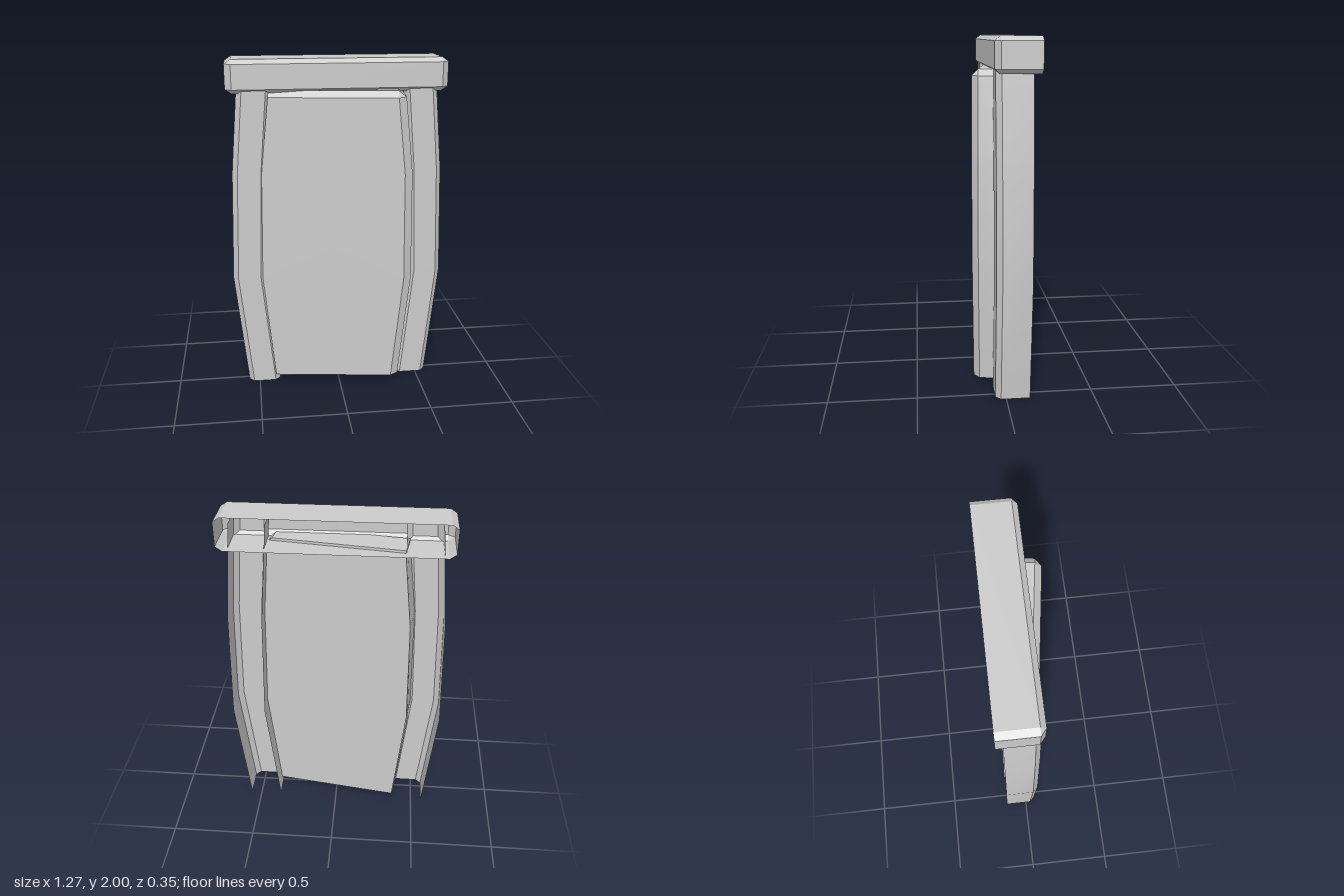
import * as THREE from 'three';
import { toCreasedNormals } from 'three/addons/utils/BufferGeometryUtils.js';

const material = new THREE.MeshStandardMaterial({ color: 0xcccccc, side: THREE.DoubleSide });

// Skins a grid of [x, y, z] rows, skipping collapsed triangles; bevels stay sharp, bows are smooth.
function skin(name, rows, closed) {
  const pos = [];
  const same = (p, q) => Math.hypot(p[0] - q[0], p[1] - q[1], p[2] - q[2]) < 1e-6;
  const tri = (a, b, c) => {
    if (!same(a, b) && !same(b, c) && !same(c, a)) pos.push(...a, ...b, ...c);
  };
  for (let r = 0; r < rows.length - 1; r++) {
    const n = rows[r].length;
    for (let i = 0; i < (closed ? n : n - 1); i++) {
      const j = (i + 1) % n;
      const a = rows[r][i], b = rows[r][j], c = rows[r + 1][j], d = rows[r + 1][i];
      tri(a, b, c);
      tri(a, c, d);
    }
  }
  const geometry = new THREE.BufferGeometry();
  geometry.setAttribute('position', new THREE.Float32BufferAttribute(pos, 3));
  const mesh = new THREE.Mesh(toCreasedNormals(geometry, 0.4), material);
  mesh.name = name;
  return mesh;
}

// Counter-clockwise ring at depth z from right and left outlines, both listed bottom to top.
const ring = (right, left, z) => [...right, ...[...left].reverse()].map(([x, y]) => [x, y, z]);

const mirror = (outline) => outline.map(([x, y]) => [-x, y]);

// A ring shrunk to one point, used as a flat cap.
const cap = (count, y, z) => Array.from({ length: count }, () => [0, y, z]);

// Bevelled beam across the top, hollow and open at the back.
function createLintel() {
  const outer = [[0.6, 1.81], [0.637, 1.835], [0.637, 1.975], [0.6, 2]];
  const front = [[0.6, 1.835], [0.6, 1.835], [0.6, 1.975], [0.6, 1.975]];
  return skin('lintel', [
    ring(outer, mirror(outer), -0.175), ring(outer, mirror(outer), 0.04),
    ring(front, mirror(front), 0.07), cap(8, 1.9, 0.07),
  ], true);
}

// Bowed side post: a bevelled channel, open at the back and both ends.
function createJamb(name, side) {
  const bow = [[0, 0.565], [0.7, 0.637], [1.35, 0.617], [1.81, 0.578], [1.95, 0.566]];
  const rows = bow.map(([y, x]) => {
    const inner = x - 0.195;
    const section = [
      [inner, y, -0.135], [inner, y, 0.03], [inner + 0.03, y, 0.06],
      [x - 0.03, y, 0.06], [x, y, 0.03], [x, y, -0.135],
    ];
    return side > 0 ? section : section.map(([px, py, pz]) => [-px, py, pz]).reverse();
  });
  return skin(name, rows, false);
}

// Solid bowed panel standing ajar: bevelled top and free edge, square hinge edge.
function createDoor() {
  const bevel = 0.045;
  const back = -0.19;
  const free = [[0.362, 0.04], [0.428, 0.7], [0.418, 1.35], [0.372, 1.79]];
  const hinge = [[-0.36, 0.04], [-0.425, 0.7], [-0.412, 1.35], [-0.365, 1.79]];
  const freeOuter = [...free.map(([x, y]) => [x + bevel, y]), [free[3][0], 1.825]];
  const hingeOuter = [...hinge, [hinge[3][0], 1.825]];
  const front = ring([...free, free[3]], [...hinge, hinge[3]], 0);
  const n = front.length;
  const door = skin('door', [
    cap(n, 0.9, back), ring(freeOuter, hingeOuter, back),
    ring(freeOuter, hingeOuter, -0.037), front, cap(n, 0.9, 0),
  ], true);
  door.position.set(-0.04, 0, 0.115);
  door.rotation.y = -0.14;
  return door;
}

export function createModel() {
  const model = new THREE.Group();
  model.name = 'doorway';
  model.add(createLintel(), createJamb('leftJamb', 1), createJamb('rightJamb', -1), createDoor());
  return model;
}
